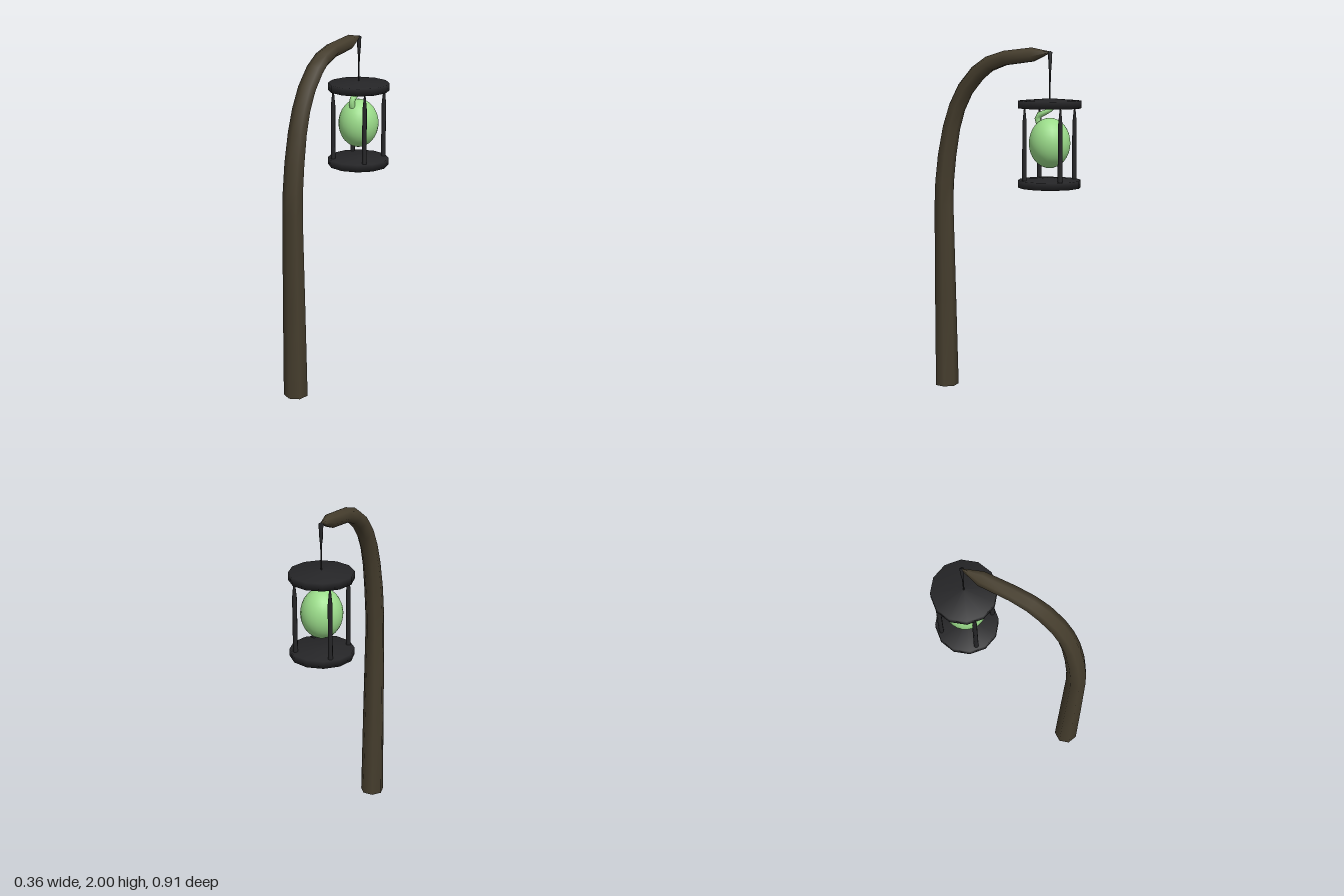
import * as THREE from 'three';

const mat = (name, color) => {
  const m = new THREE.MeshStandardMaterial({ color });
  m.name = name;
  return m;
};

// Tapered tube in the yz plane; each ring is [z, y, radius], first end capped
function sweep(rings, sides) {
  const pos = [], idx = [];
  rings.forEach(([z, y, r], i) => {
    const a = rings[Math.max(i - 1, 0)], b = rings[Math.min(i + 1, rings.length - 1)];
    const t = new THREE.Vector2(b[0] - a[0], b[1] - a[1]).normalize();
    for (let j = 0; j < sides; j++) {
      const ang = (j / sides) * Math.PI * 2, c = Math.cos(ang) * r;
      pos.push(Math.sin(ang) * r, y - t.x * c, z + t.y * c);
      if (i < rings.length - 1) {
        const p = i * sides + j, q = i * sides + ((j + 1) % sides);
        idx.push(p, q, q + sides, p, q + sides, p + sides);
      }
    }
  });
  // base cap with its own vertices, so that its edge stays sharp
  const start = pos.length / 3;
  pos.push(...pos.slice(0, sides * 3));
  for (let j = 1; j < sides - 1; j++) idx.push(start, start + j + 1, start + j);
  const g = new THREE.BufferGeometry();
  g.setAttribute('position', new THREE.Float32BufferAttribute(pos, 3));
  g.setIndex(idx);
  g.computeVertexNormals();
  return g;
}

const lathe = (pts, sides) =>
  new THREE.LatheGeometry(pts.map(([r, y]) => new THREE.Vector2(r, y)), sides);

export function createModel() {
  const wood = mat('dark wood', 0x453d2d);
  const iron = mat('black iron', 0x252527);
  const glow = mat('pale green', 0x9bdc8a);

  const model = new THREE.Group();
  model.name = 'hangingLantern';
  const add = (parent, name, geo, material, x = 0, y = 0, z = 0) => {
    const m = new THREE.Mesh(geo, material);
    m.name = name;
    m.position.set(x, y, z);
    parent.add(m);
    return m;
  };

  // Bent pole ending in a point
  add(model, 'pole', sweep([
    [0.384, 0, 0.071], [0.391, 0.55, 0.065], [0.397, 1.08, 0.058], [0.392, 1.22, 0.057],
    [0.374, 1.38, 0.056], [0.344, 1.54, 0.053], [0.307, 1.658, 0.051], [0.253, 1.763, 0.05],
    [0.175, 1.854, 0.049], [0.101, 1.907, 0.046], [0.002, 1.94, 0.043],
    [-0.17, 1.96, 0.041], [-0.285, 1.975, 0.002],
  ], 7), wood);

  // Lantern hanging below the tip
  const lantern = new THREE.Group();
  lantern.name = 'lantern';
  lantern.position.z = -0.277;
  model.add(lantern);

  add(lantern, 'hanger', lathe([
    [0, 1.71], [0.004, 1.71], [0.005, 1.86], [0.009, 1.89], [0.013, 1.975], [0, 1.982],
  ], 6), iron);

  // Roof and floor discs, slightly domed on top
  const disc = lathe([[0, 0], [0.178, 0], [0.178, 0.042], [0, 0.055]], 12);
  add(lantern, 'roof', disc, iron, 0, 1.665, 0);
  add(lantern, 'floor', disc, iron, 0, 1.22, 0);

  // Four corner posts with pointed tops
  const post = lathe([[0.014, 1.24], [0.013, 1.58], [0.004, 1.67]], 8);
  for (const x of [-1, 1])
    for (const z of [-1, 1]) add(lantern, 'post', post, iron, x * 0.107, 0, z * 0.107);

  // Glowing fruit-like body with a curled stem
  add(lantern, 'glowBody', new THREE.SphereGeometry(1, 24, 16), glow, 0, 1.47, 0)
    .scale.set(0.117, 0.141, 0.117);
  add(lantern, 'glowStem', sweep([
    [0.066, 1.575, 0.017], [0.074, 1.605, 0.018], [0.062, 1.627, 0.018],
    [0.03, 1.64, 0.015], [-0.005, 1.655, 0.011], [-0.033, 1.668, 0.002],
  ], 8), glow);

  return model;
}
